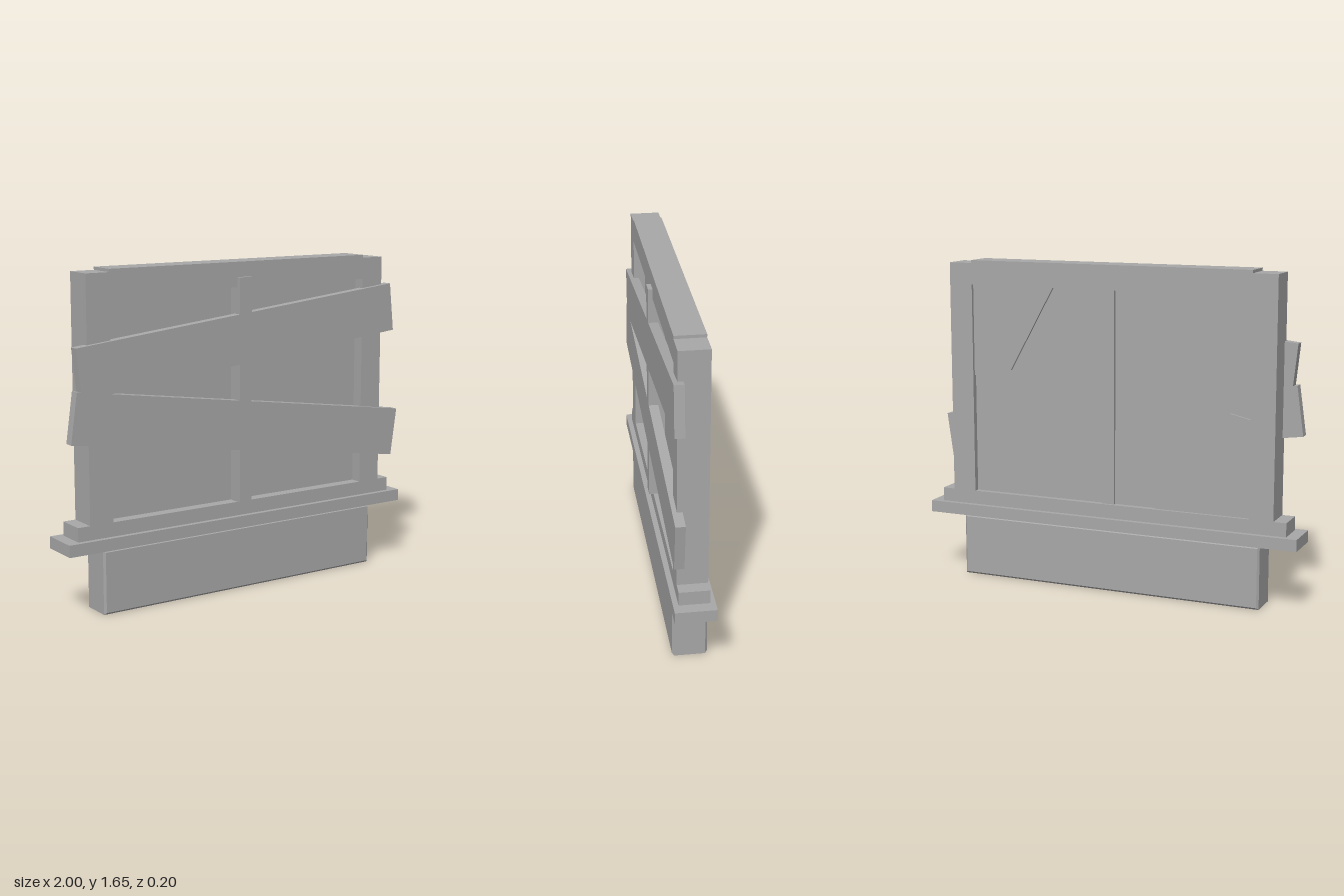
import * as THREE from 'three';

export function createModel() {
  const model = new THREE.Group();
  model.name = 'boardedWindow';
  const grey = new THREE.MeshStandardMaterial({ color: 0xa8a8a8 });
  grey.name = 'plain grey';

  const add = (name, geometry) => {
    const mesh = new THREE.Mesh(geometry, grey);
    mesh.name = name;
    model.add(mesh);
    return mesh;
  };
  // Box given by its limits on each axis
  const block = (name, x0, x1, y0, y1, z0, z1) => {
    const mesh = add(name, new THREE.BoxGeometry(x1 - x0, y1 - y0, z1 - z0));
    mesh.position.set((x0 + x1) / 2, (y0 + y1) / 2, (z0 + z1) / 2);
    return mesh;
  };
  const outline = (points) => new THREE.Shape(points.map(([x, y]) => new THREE.Vector2(x, y)));

  // Lower wall block with chamfered edges
  const bevel = 0.01;
  const wall = add('lowerWall', new THREE.ExtrudeGeometry(
    outline([[-0.8, bevel], [0.8, bevel], [0.8, 0.31], [-0.8, 0.31]]),
    { depth: 0.15, bevelEnabled: true, bevelSize: bevel, bevelThickness: bevel, bevelSegments: 1 },
  ));
  wall.position.z = -0.075;

  // Ledge and sill
  block('ledge', -1, 1, 0.32, 0.38, -0.1, 0.1);
  block('sill', -0.94, 0.94, 0.38, 0.45, -0.074, 0.074);

  // Frame
  for (const side of [-1, 1]) {
    const inner = side * 0.75, outer = side * 0.875;
    block(side > 0 ? 'leftStile' : 'rightStile',
      Math.min(inner, outer), Math.max(inner, outer), 0.45, 1.64, -0.074, 0.074);
  }
  block('topRail', -0.75, 0.75, 1.53, 1.655, -0.074, 0.074);
  block('mullion', -0.035, 0.035, 0.45, 1.58, -0.06, 0.096);

  // Pane, with broken pieces raised on its back
  block('pane', -0.75, 0.75, 0.45, 1.53, -0.045, 0.015);
  const shards = {
    upperShard: [[0.75, 1.53], [0.3, 1.53], [0.54, 1.1], [0.75, 1.06]],
    lowerShard: [[-0.75, 0.45], [-0.26, 0.45], [-0.64, 0.96], [-0.75, 0.935]],
  };
  for (const [name, points] of Object.entries(shards)) {
    const shard = add(name, new THREE.ExtrudeGeometry(outline(points), { depth: 0.02, bevelEnabled: false }));
    shard.position.z = -0.058;
  }

  // Boards nailed across the front
  const boards = [
    ['upperBoard', 1.87, 1.278, 0.106],
    ['lowerBoard', 1.94, 0.84, -0.141],
  ];
  for (const [name, length, y, angle] of boards) {
    const board = add(name, new THREE.BoxGeometry(length, 0.248, 0.048));
    board.position.set(0, y, 0.072);
    board.rotation.z = angle;
  }
  return model;
}
